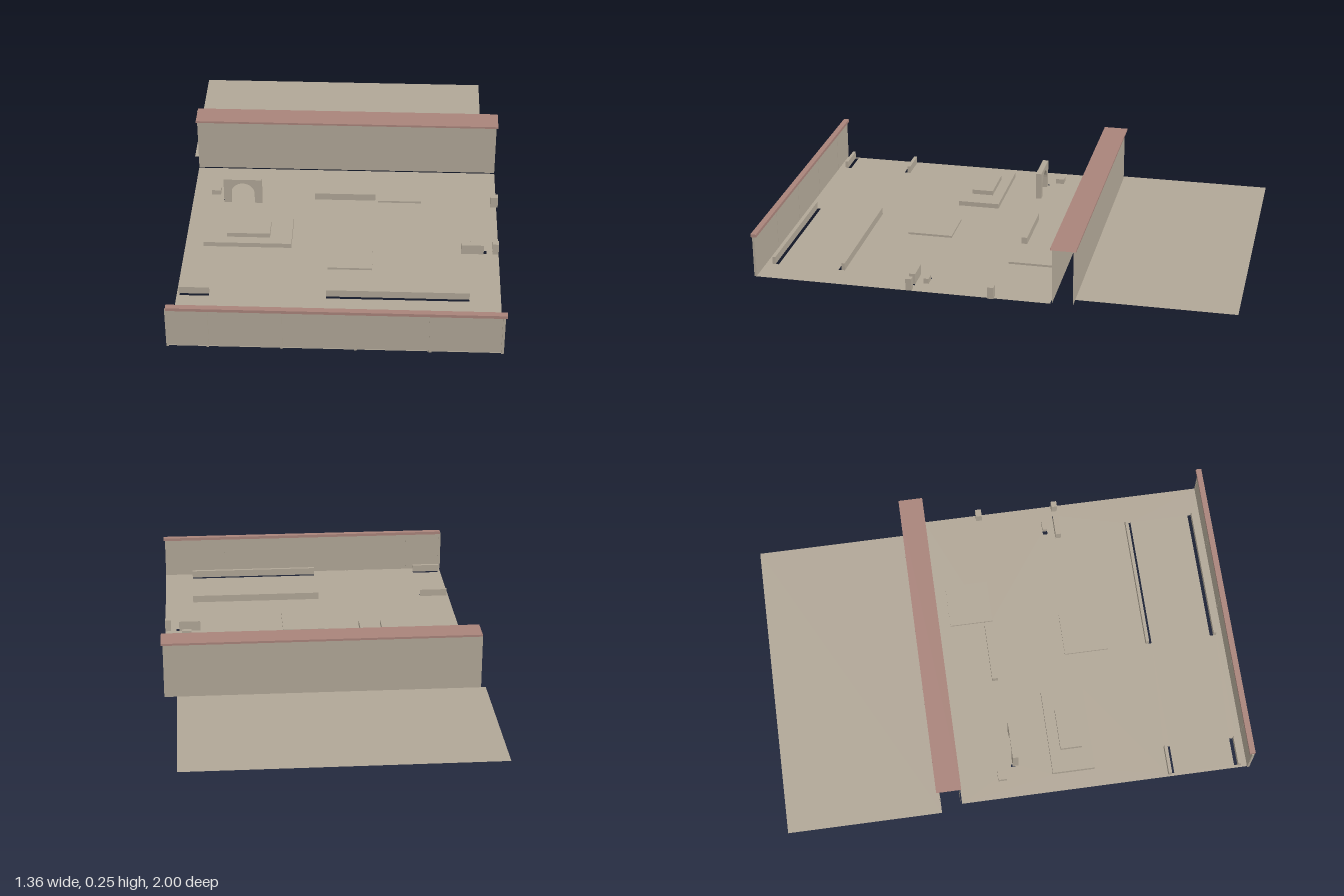
import * as THREE from 'three';

const tan = new THREE.MeshStandardMaterial({ color: 0xb0a696, side: THREE.DoubleSide });
tan.name = 'stone';
const red = new THREE.MeshStandardMaterial({ color: 0xa8837a, side: THREE.DoubleSide });
red.name = 'clay coping';

export function createModel() {
  const model = new THREE.Group();
  model.name = 'courtyard';

  const add = (name, geo, mat = tan) => {
    const m = new THREE.Mesh(geo, mat);
    m.name = name;
    model.add(m);
    return m;
  };

  // Box given by its limits, with any listed faces left out (0 +x, 1 -x, 2 +y, 3 -y, 4 +z, 5 -z)
  const box = (name, x0, x1, y0, y1, z0, z1, mat = tan, omit = []) => {
    const g = new THREE.BoxGeometry(x1 - x0, y1 - y0, z1 - z0);
    g.translate((x0 + x1) / 2, (y0 + y1) / 2, (z0 + z1) / 2);
    const index = Array.from(g.index.array);
    g.setIndex(index.filter((_, i) => !omit.includes(Math.floor(i / 6))));
    g.clearGroups();
    return add(name, g, mat);
  };

  // Upright sheet facing front
  const sheet = (name, x0, x1, h, z) => {
    const g = new THREE.PlaneGeometry(x1 - x0, h);
    g.translate((x0 + x1) / 2, h / 2, z);
    return add(name, g);
  };

  const rect = (S, x0, x1, z0, z1) => {
    const s = new S();
    s.moveTo(x0, -z0);
    s.lineTo(x1, -z0);
    s.lineTo(x1, -z1);
    s.lineTo(x0, -z1);
    s.closePath();
    return s;
  };

  // Courtyard floor with openings
  const floor = rect(THREE.Shape, -0.657, 0.668, -0.25, 0.99);
  const openings = [
    [-0.645, -0.525, 0.645, 0.672],
    [-0.045, 0.54, 0.645, 0.672],
    [-0.645, -0.525, 0.933, 0.96],
    [-0.045, 0.54, 0.933, 0.96],
    [-0.58, -0.207, 0.153, 0.335],
    [-0.125, 0.14, -0.048, -0.023],
    [-0.523, -0.512, -0.02, -0.002],
    [0.535, 0.55, 0.272, 0.293],
    [0.605, 0.617, 0.325, 0.348],
  ];
  for (const o of openings) floor.holes.push(rect(THREE.Path, ...o));
  add('floor', new THREE.ShapeGeometry(floor).rotateX(-Math.PI / 2));

  // Rear ground
  const rear = rect(THREE.Shape, -0.685, 0.615, -1, -0.34);
  add('rearGround', new THREE.ShapeGeometry(rear).rotateX(-Math.PI / 2));

  // Back wall: two sheets under an open-ended coping
  sheet('backWallInner', -0.657, 0.668, 0.242, -0.257);
  sheet('backWallOuter', -0.665, 0.668, 0.242, -0.343);
  box('backCoping', -0.662, 0.675, 0.24, 0.249, -0.355, -0.25, red, [0, 1]);

  // Front wall with posts and coping
  sheet('frontWall', -0.662, 0.668, 0.182, 0.987);
  for (const x of [-0.656, -0.498, -0.208, 0.085, 0.378, 0.662]) {
    box('frontPost', x - 0.005, x + 0.005, 0, 0.181, 0.986, 0.996);
  }
  box('frontCoping', -0.657, 0.674, 0.18, 0.193, 0.976, 1, red);

  // Low rails beside the slots
  for (const [x0, x1] of [[-0.65, -0.525], [-0.045, 0.54]]) {
    box('middleRail', x0, x1, 0, 0.032, 0.645, 0.659, tan, [3]);
    box('frontRail', x0, x1, 0, 0.032, 0.947, 0.96, tan, [3]);
  }
  box('backRail', -0.125, 0.14, 0, 0.032, -0.048, -0.023, tan, [3]);

  // Stepped platform and flat slabs
  box('platform', -0.58, -0.207, 0, 0.021, 0.153, 0.335, tan, [3]);
  box('platformStep', -0.483, -0.3, 0.021, 0.041, 0.2, 0.293);
  box('centreSlab', -0.047, 0.138, 0, 0.009, 0.285, 0.477, tan, [3]);
  box('backSlab', 0.152, 0.34, 0, 0.009, -0.197, -0.01, tan, [3]);

  // Arch
  const arch = new THREE.Shape();
  arch.moveTo(-0.52, 0);
  arch.lineTo(-0.488, 0);
  arch.lineTo(-0.488, 0.05);
  arch.absarc(-0.437, 0.05, 0.051, Math.PI, 0, true);
  arch.lineTo(-0.386, 0);
  arch.lineTo(-0.354, 0);
  arch.lineTo(-0.354, 0.12);
  arch.lineTo(-0.52, 0.12);
  const archGeo = new THREE.ExtrudeGeometry(arch, { depth: 0.025, bevelEnabled: false, curveSegments: 8 });
  add('arch', archGeo.translate(0, 0, -0.013));

  // Small blocks
  box('archBlock', -0.58, -0.54, 0, 0.022, -0.083, -0.045);
  box('sideBlock', 0.642, 0.675, 0, 0.05, -0.018, 0.008);
  box('sideBlock', 0.642, 0.668, 0, 0.052, 0.325, 0.35);
  box('bench', 0.51, 0.605, 0, 0.045, 0.325, 0.35);
  box('benchStep', 0.55, 0.592, 0, 0.022, 0.272, 0.293);

  return model;
}
